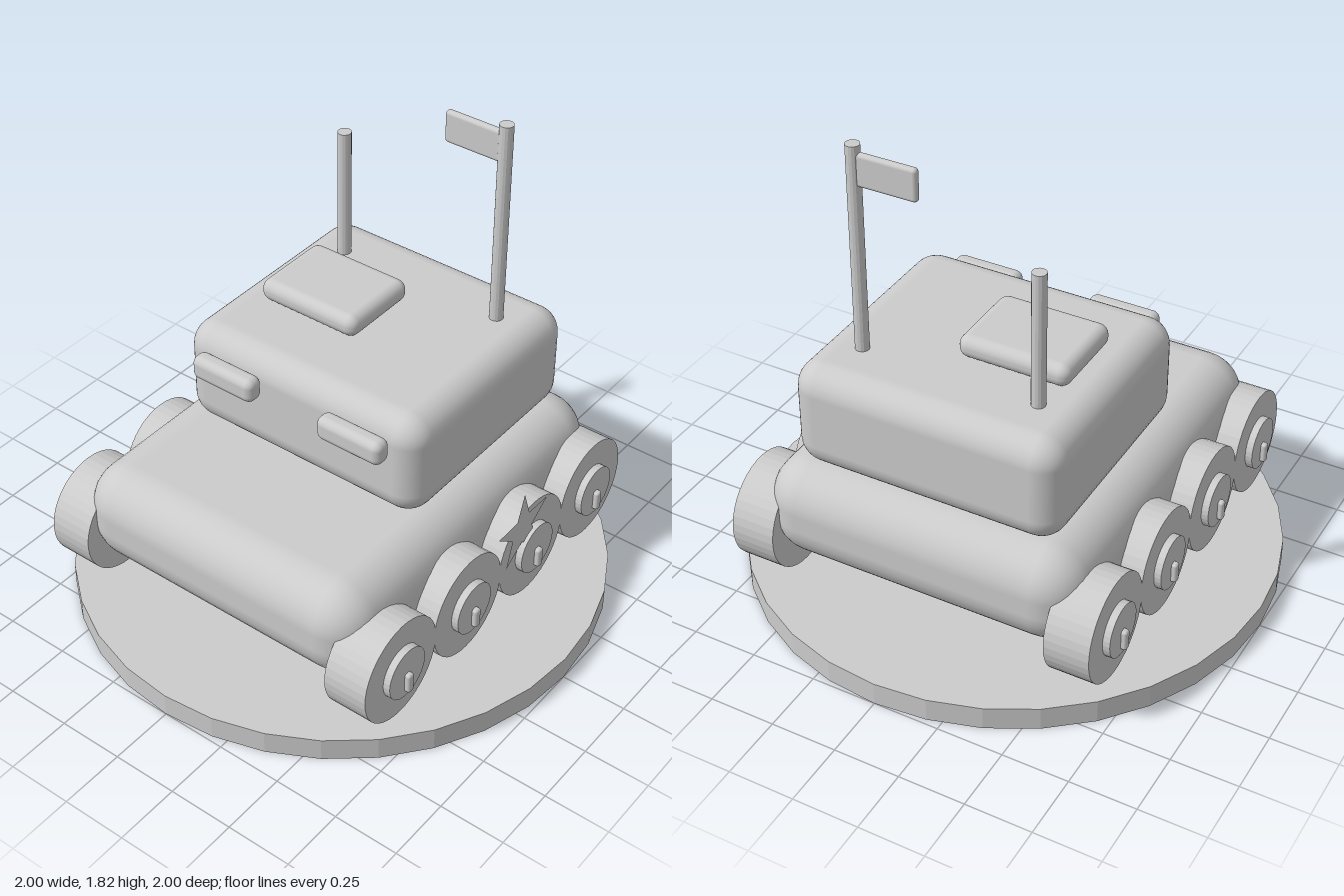
import * as THREE from 'three';
import { RoundedBoxGeometry } from 'three/addons/geometries/RoundedBoxGeometry.js';

export function createModel() {
  const model = new THREE.Group();
  model.name = 'toyTank';
  const grey = new THREE.MeshStandardMaterial({ color: 0xcccccc, side: THREE.DoubleSide });
  grey.name = 'plain grey';

  const add = (name, geometry, parent = model) => {
    const mesh = new THREE.Mesh(geometry, grey);
    mesh.name = name;
    parent.add(mesh);
    return mesh;
  };

  // Rounded block given by its limits on each axis
  const block = (name, [x0, x1], [y0, y1], [z0, z1], radius, parent, segments = 4) => {
    const mesh = add(name, new RoundedBoxGeometry(x1 - x0, y1 - y0, z1 - z0, segments, radius), parent);
    mesh.position.set((x0 + x1) / 2, (y0 + y1) / 2, (z0 + z1) / 2);
    return mesh;
  };

  // Faceted cylinder, standing along y
  const drum = (radius, height, sides) => {
    const geometry = new THREE.CylinderGeometry(radius, radius, height, sides).toNonIndexed();
    geometry.computeVertexNormals();
    return geometry;
  };

  // Display base
  add('base', drum(1, 0.09, 32)).position.y = 0.045;

  // Hull and turret
  block('hull', [-0.62, 0.62], [0.24, 0.625], [-0.757, 0.753], 0.16);
  block('turret', [-0.515, 0.515], [0.625, 1.033], [-0.67, 0.26], 0.1);
  block('hatch', [-0.387, 0.037], [1.033, 1.12], [-0.35, -0.017], 0.04);

  // Vision ports on the turret front
  for (const side of [-1, 1]) {
    block('visionPort', [side * 0.277 - 0.136, side * 0.277 + 0.136], [0.88, 0.975], [0.262, 0.335], 0.03);
  }

  // Wheels with hub and bolt, four on each side
  for (const side of [-1, 1]) {
    for (let i = 0; i < 4; i++) {
      const wheel = new THREE.Group();
      wheel.name = side > 0 ? 'leftWheel' : 'rightWheel';
      wheel.position.set(side * 0.62, 0.33, 0.588 - i * 0.392);
      const tyre = add('tyre', drum(0.2, 0.17, 40), wheel);
      tyre.rotation.z = Math.PI / 2;
      tyre.position.x = side * 0.003;
      const hub = add('hub', drum(0.1, 0.06, 32), wheel);
      hub.rotation.z = Math.PI / 2;
      hub.position.x = side * 0.085;
      const bolt = add('bolt', new RoundedBoxGeometry(0.04, 0.08, 0.03, 2, 0.01), wheel);
      bolt.position.set(side * 0.115, -0.037, 0);
      model.add(wheel);
    }
  }

  // Antenna and flag pole
  for (const [name, x, top] of [['antenna', -0.335, 1.545], ['flagPole', 0.345, 1.823]]) {
    add(name, drum(0.026, top - 1.02, 16)).position.set(x, (top + 1.02) / 2, -0.45);
  }
  block('flag', [0.103, 0.345], [1.672, 1.796], [-0.465, -0.435], 0.014, model, 2);

  // Flat star on the left side, between the wheel faces and the hubs
  const points = [];
  for (let i = 0; i < 10; i++) {
    const angle = Math.PI / 2 + (i * Math.PI) / 5;
    const r = i % 2 ? 0.064 : 0.158;
    points.push(new THREE.Vector2(r * Math.cos(angle), r * Math.sin(angle)));
  }
  const star = add('star', new THREE.ShapeGeometry(new THREE.Shape(points)));
  star.rotation.y = Math.PI / 2;
  star.position.set(0.72, 0.473, -0.112);

  return model;
}
